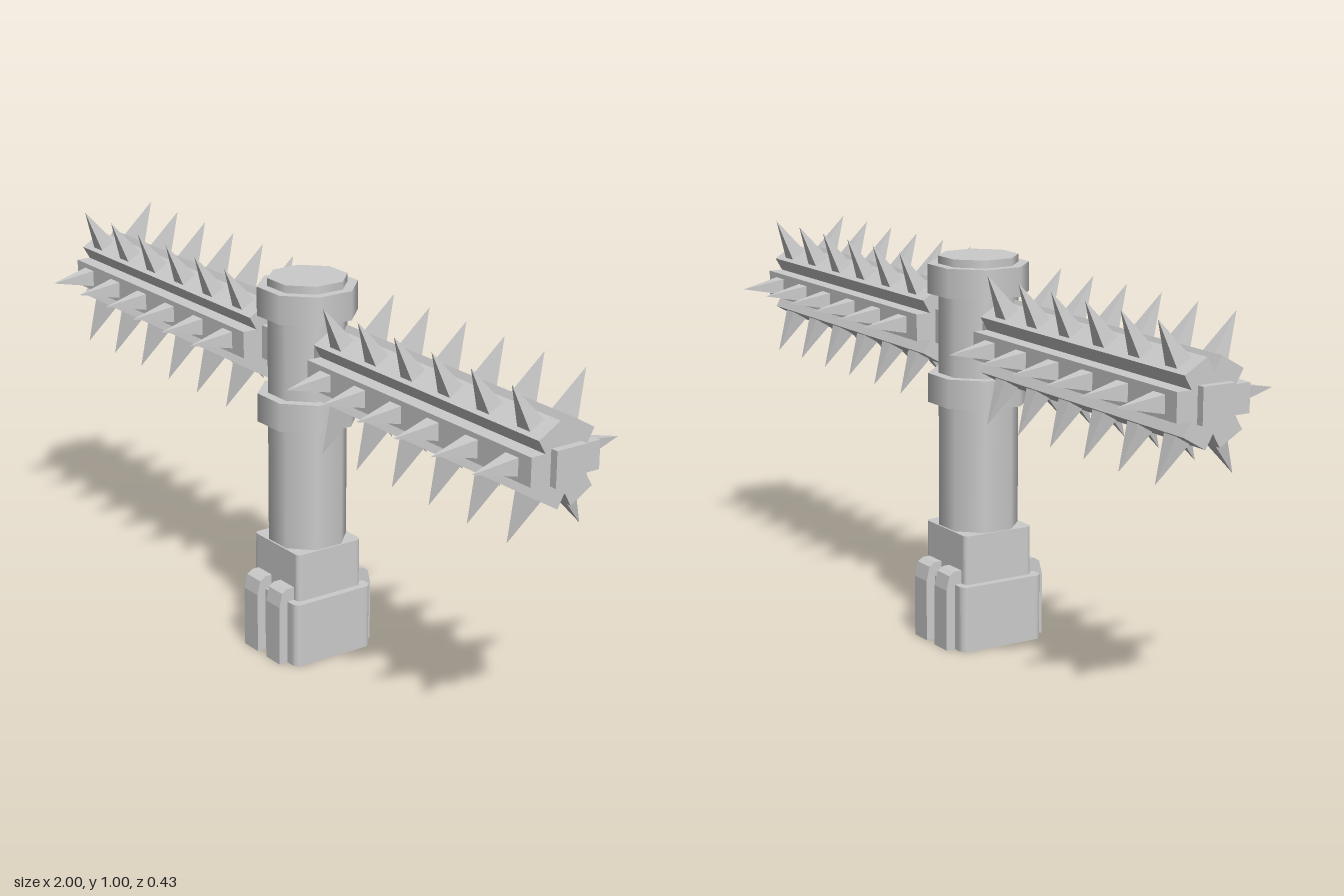
import * as THREE from 'three';

const material = new THREE.MeshStandardMaterial({ color: 0xcccccc });
const flatMaterial = new THREE.MeshStandardMaterial({ color: 0xcccccc, flatShading: true });

function add(parent, name, geometry, mat = flatMaterial) {
  const mesh = new THREE.Mesh(geometry, mat);
  mesh.name = name;
  parent.add(mesh);
  return mesh;
}

// Eight-sided drum with smooth sides and flats facing the axes
function drum(parent, name, halfWidth, y0, y1) {
  const r = halfWidth / Math.cos(Math.PI / 8);
  const geometry = new THREE.CylinderGeometry(r, r, y1 - y0, 8, 1, false, Math.PI / 8);
  add(parent, name, geometry, material).position.y = (y0 + y1) / 2;
}

// Upright square block with rounded vertical corners
function roundedBlock(parent, name, h, r, y0, y1) {
  const s = new THREE.Shape();
  const corners = [[1, 1], [-1, 1], [-1, -1], [1, -1]];
  corners.forEach(([x, y], i) => {
    s.absarc(x * (h - r), y * (h - r), r, i * Math.PI / 2, (i + 1) * Math.PI / 2, false);
  });
  const g = new THREE.ExtrudeGeometry(s, { depth: y1 - y0, bevelEnabled: false, curveSegments: 3 });
  g.rotateX(-Math.PI / 2);
  add(parent, name, g).position.y = y0;
}

// Cross-section of the arm: six flat lobes with V notches between them
function armShape(reach, half) {
  const points = [];
  for (let i = 0; i < 6; i++) {
    const a = i * Math.PI / 3, c = Math.cos(a), s = Math.sin(a);
    for (const t of [-half, half]) points.push(new THREE.Vector2(reach * c - t * s, reach * s + t * c));
    const n = a + Math.PI / 6;
    points.push(new THREE.Vector2(2 * half * Math.cos(n), 2 * half * Math.sin(n)));
  }
  return new THREE.Shape(points);
}

function spikedArm(side) {
  const arm = new THREE.Group();
  arm.name = side > 0 ? 'leftArm' : 'rightArm';
  const start = 0.14, length = 0.84, reach = 0.1;

  const body = new THREE.ExtrudeGeometry(armShape(reach, 0.035), { depth: length, bevelEnabled: false });
  body.rotateY(Math.PI / 2);
  add(arm, 'lobedBar', body).position.x = side > 0 ? start : -start - length;

  // Four-sided spikes in six rows around the bar
  const height = 0.115;
  const spike = new THREE.ConeGeometry(0.022 * Math.SQRT2, height, 4);
  spike.rotateY(Math.PI / 4);
  spike.translate(0, reach + height / 2, 0);
  for (let row = 0; row < 6; row++) {
    for (let i = 0; i < 6; i++) {
      const mesh = add(arm, 'spike', spike);
      mesh.position.x = side * (0.215 + i * 0.14);
      mesh.rotation.x = Math.PI / 2 + row * Math.PI / 3;
    }
  }
  arm.position.y = 0.8;
  return arm;
}

export function createModel() {
  const model = new THREE.Group();
  model.name = 'spikedPost';

  // Post with two collars
  drum(model, 'post', 0.095, 0.28, 1.0);
  drum(model, 'lowerCollar', 0.12, 0.625, 0.7);
  drum(model, 'upperCollar', 0.12, 0.905, 0.98);

  // Stepped foot
  roundedBlock(model, 'foot', 0.12, 0.02, 0, 0.172);
  roundedBlock(model, 'footCollar', 0.1, 0.015, 0.172, 0.3);

  // Two ribs over the front and back of the foot, rounded at the top
  const rib = new THREE.Shape();
  rib.moveTo(-0.145, 0);
  rib.lineTo(0.145, 0);
  rib.lineTo(0.145, 0.16);
  rib.lineTo(0.136, 0.197);
  rib.lineTo(0.12, 0.207);
  rib.lineTo(-0.12, 0.207);
  rib.lineTo(-0.136, 0.197);
  rib.lineTo(-0.145, 0.16);
  const ribGeometry = new THREE.ExtrudeGeometry(rib, { depth: 0.06, bevelEnabled: false });
  ribGeometry.rotateY(Math.PI / 2);
  ribGeometry.translate(-0.03, 0, 0);
  for (const x of [-0.05, 0.05]) add(model, 'footRib', ribGeometry).position.x = x;

  // Square axle running through both arms
  add(model, 'axle', new THREE.BoxGeometry(2, 0.088, 0.088)).position.y = 0.8;
  for (const side of [-1, 1]) model.add(spikedArm(side));

  return model;
}
